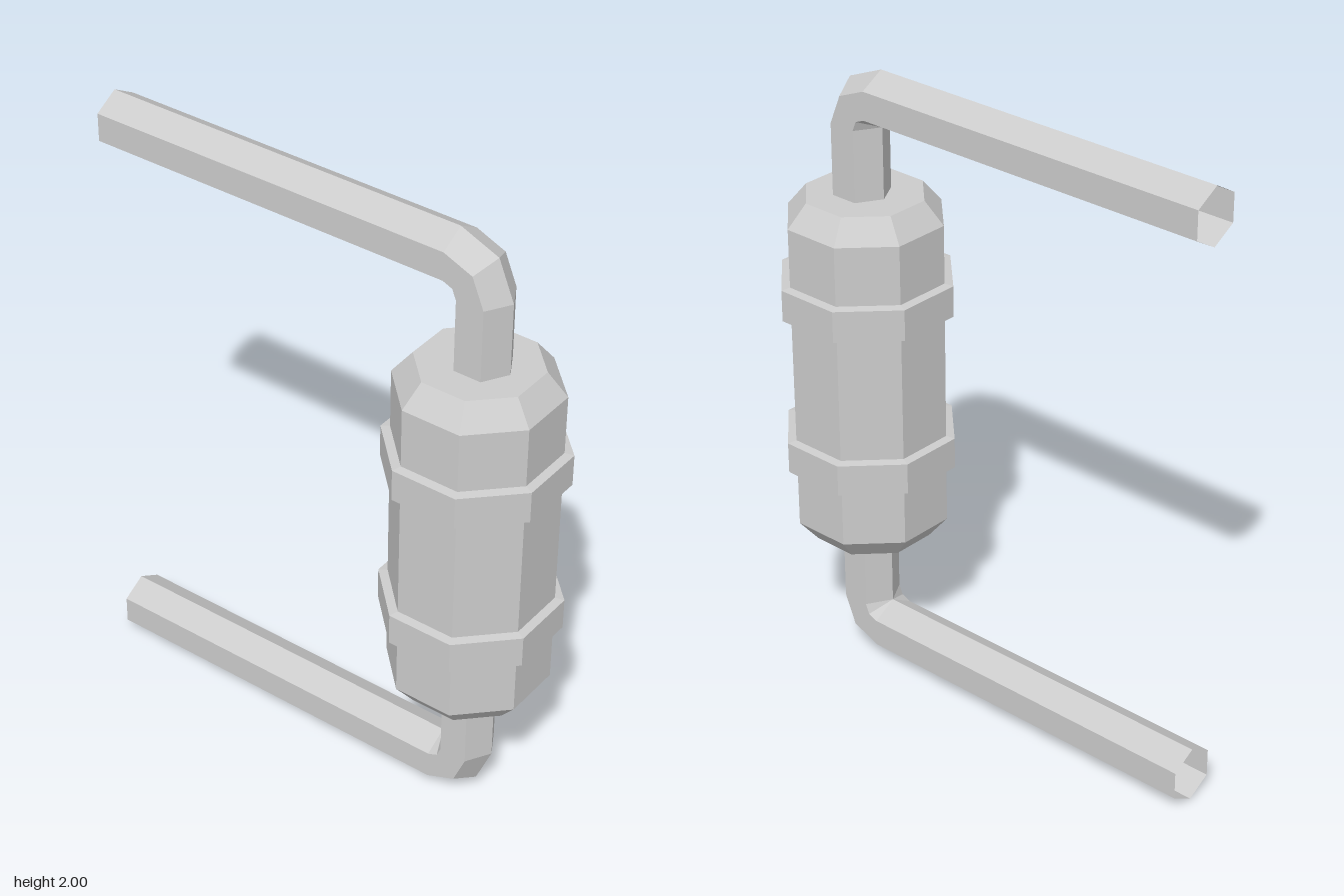
import * as THREE from 'three';

const material = new THREE.MeshStandardMaterial({ color: 0xcccccc, flatShading: true });
const openMaterial = new THREE.MeshStandardMaterial({ color: 0xcccccc, flatShading: true, side: THREE.DoubleSide });

const SIDES = 6;      // hexagonal pipe
const R = 0.09;       // pipe radius
const PIVOT = { y: 1.82, z: 0.442 }; // inner corner of the bend

// Hexagonal pipe: rises out of the body, bends a quarter turn and runs to the back, open at the end
function pipeGeometry() {
  const rings = [
    { t: 0, y: 1.56, z: PIVOT.z },
    { t: 0, ...PIVOT },
    { t: Math.PI / 4, ...PIVOT },
    { t: Math.PI / 2, ...PIVOT },
    { t: Math.PI / 2, y: PIVOT.y, z: -0.777 },
  ];
  const positions = [];
  const index = [];
  rings.forEach(({ t, y, z }, i) => {
    for (let k = 0; k < SIDES; k++) {
      const a = (k / SIDES) * Math.PI * 2;
      const out = R + R * Math.cos(a);
      positions.push(R * Math.sin(a), y + out * Math.sin(t), z + out * Math.cos(t));
      if (i === rings.length - 1) continue;
      const p = i * SIDES + k;
      const q = i * SIDES + (k + 1) % SIDES;
      index.push(p, q, q + SIDES, p, q + SIDES, p + SIDES);
    }
  });
  const geometry = new THREE.BufferGeometry();
  geometry.setAttribute('position', new THREE.Float32BufferAttribute(positions, 3));
  geometry.setIndex(index);
  geometry.computeVertexNormals();
  return geometry;
}

// Octagonal solid with flats facing the axes; profile is [apothem, y] from bottom to top
function octagon(name, profile) {
  const points = profile.map(([r, y]) => new THREE.Vector2(r / Math.cos(Math.PI / 8), y));
  const mesh = new THREE.Mesh(new THREE.LatheGeometry(points, 8, Math.PI / 8), material);
  mesh.name = name;
  mesh.position.z = 0.521;
  return mesh;
}

export function createModel() {
  const group = new THREE.Group();
  group.name = 'canisterWithPipes';

  // Canister with chamfered ends
  group.add(octagon('canister', [
    [0, 0.43], [0.175, 0.43], [0.231, 0.502], [0.231, 1.517], [0.175, 1.59], [0, 1.59],
  ]));

  // Raised bands
  for (const [name, y] of [['lowerBand', 0.746], ['upperBand', 1.271]]) {
    group.add(octagon(name, [
      [0.229, y - 0.056], [0.257, y - 0.051], [0.257, y + 0.051], [0.229, y + 0.056],
    ]));
  }

  // Upper pipe and its mirror image below
  const geometry = pipeGeometry();
  const upper = new THREE.Mesh(geometry, openMaterial);
  upper.name = 'upperPipe';
  const lower = new THREE.Mesh(geometry, openMaterial);
  lower.name = 'lowerPipe';
  lower.scale.y = -1;
  lower.position.y = 2;
  group.add(upper, lower);

  return group;
}
